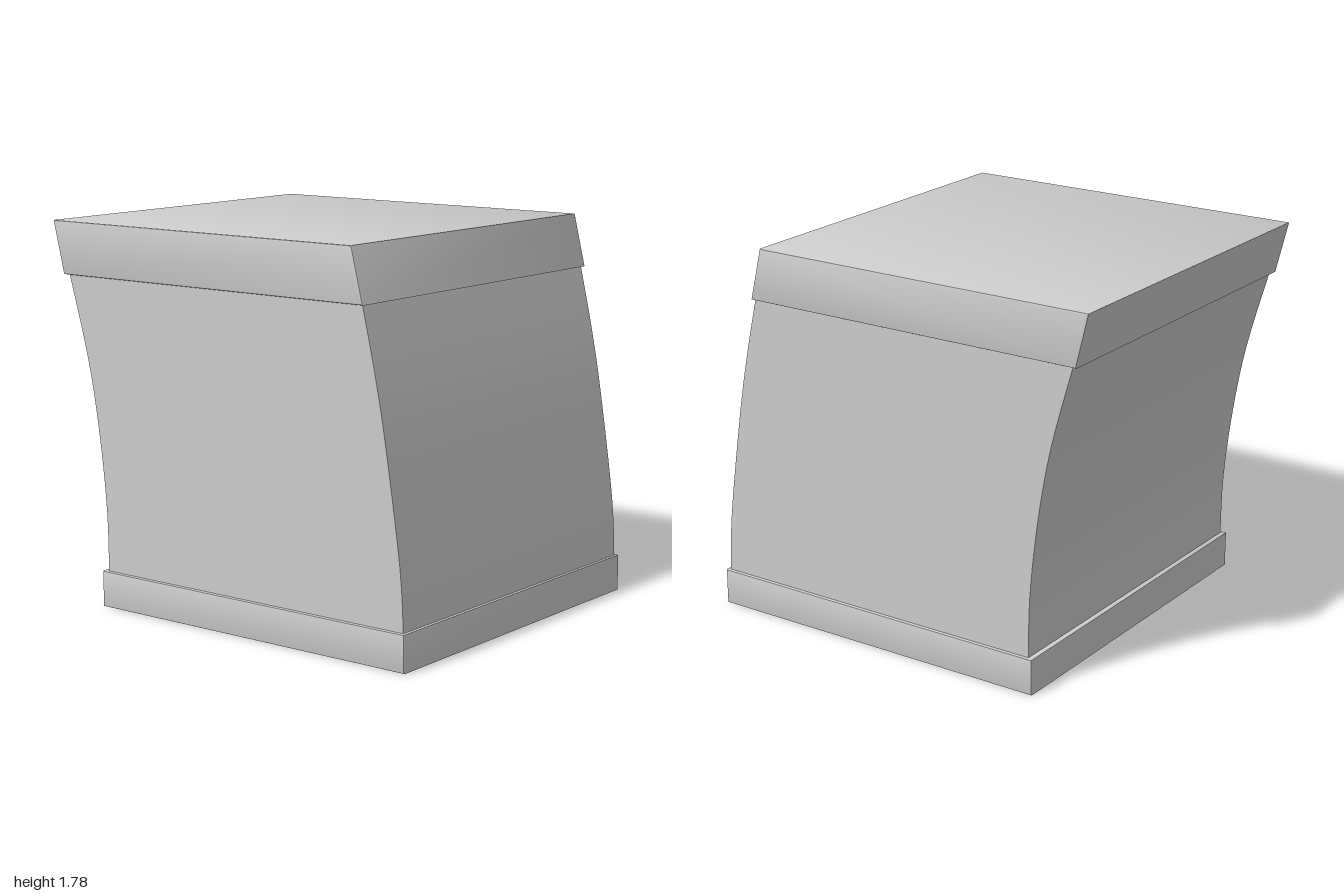
import * as THREE from 'three';
import { toCreasedNormals } from 'three/addons/utils/BufferGeometryUtils.js';

const material = new THREE.MeshStandardMaterial({ color: 0xcccccc });
const v = (x, y) => new THREE.Vector2(x, y);

// Extrudes an x/y outline along z, centred, with an optional softened edge
function slab(name, points, halfDepth, bevel = 0) {
  const geometry = new THREE.ExtrudeGeometry(new THREE.Shape(points), {
    depth: 2 * (halfDepth - bevel),
    bevelEnabled: bevel > 0,
    bevelThickness: bevel,
    bevelSize: bevel,
    bevelOffset: -bevel,
    bevelSegments: 2,
  });
  geometry.translate(0, 0, -(halfDepth - bevel));
  const mesh = new THREE.Mesh(toCreasedNormals(geometry, 0.6), material);
  mesh.name = name;
  return mesh;
}

export function createModel() {
  const group = new THREE.Group();
  group.name = 'leaningBlock';

  // Base plinth
  group.add(slab('basePlinth', [v(-0.73, 0), v(1, 0), v(1, 0.17), v(-0.73, 0.17)], 0.865, 0.008));

  // Curved body leaning towards -x
  const right = new THREE.SplineCurve([
    v(0.985, 0.16), v(0.965, 0.45), v(0.89, 0.95), v(0.833, 1.25), v(0.765, 1.545),
  ]).getPoints(20);
  const left = new THREE.SplineCurve([
    v(-0.92, 1.545), v(-0.81, 1.15), v(-0.747, 0.8), v(-0.71, 0.45), v(-0.705, 0.16),
  ]).getPoints(20);
  group.add(slab('curvedBody', [...right, ...left], 0.848));

  // Slanted cap
  group.add(slab('slantedCap', [v(-0.94, 1.535), v(0.78, 1.535), v(0.72, 1.78), v(-1, 1.78)], 0.865, 0.008));

  return group;
}
